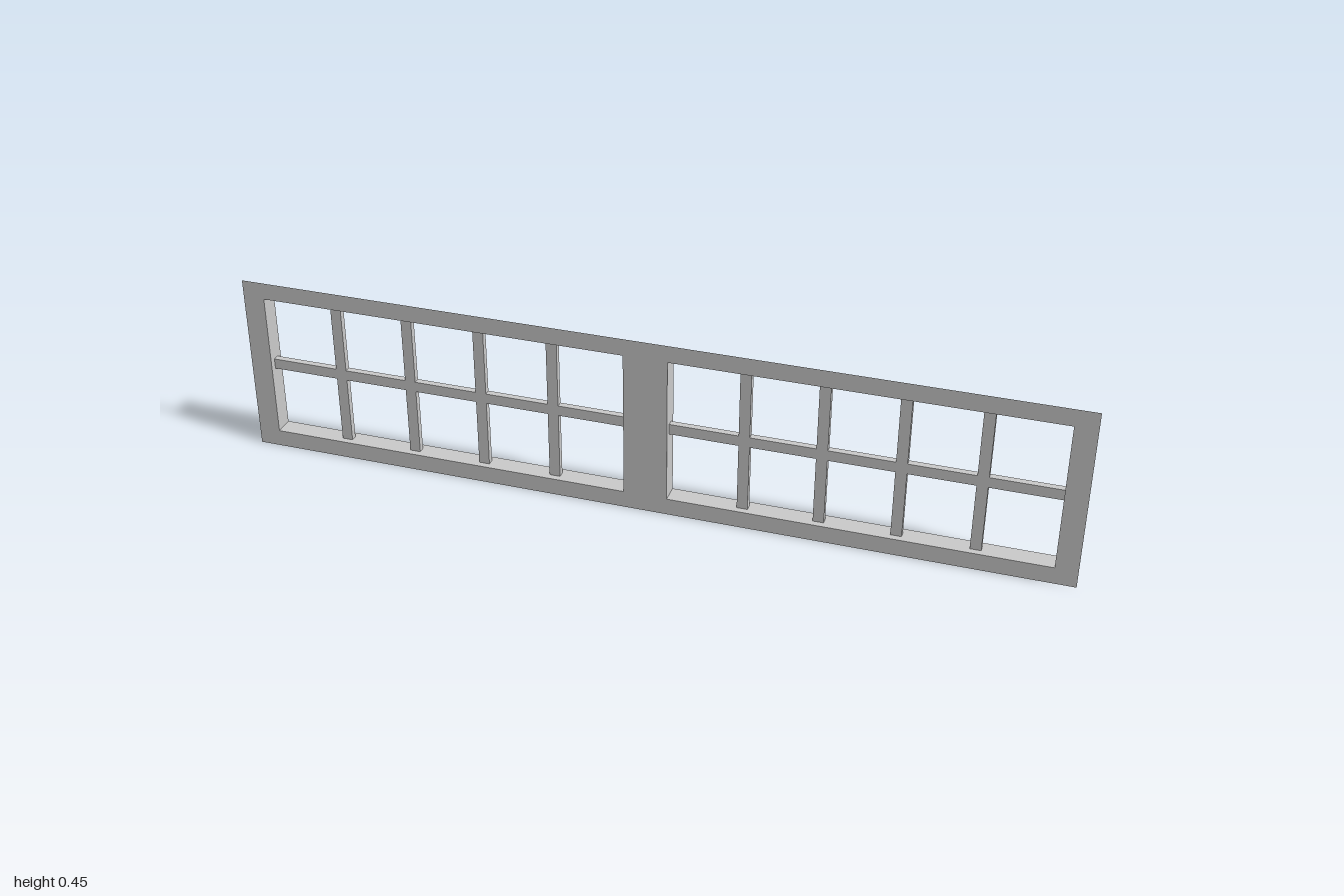
import * as THREE from 'three';

const WIDTH = 2, HEIGHT = 0.448, HALF_DEPTH = 0.024;
const PANE_W = 0.895, PANE_BOTTOM = 0.042, PANE_TOP = 0.406, MID_Y = 0.224;
const BAR_W = 0.026, BAR_HALF_DEPTH = 0.008;

const material = new THREE.MeshStandardMaterial({ color: 0xcccccc, side: THREE.DoubleSide, flatShading: true });

function rectangle(PathType, x0, y0, x1, y1) {
  return new PathType([[x0, y0], [x1, y0], [x1, y1], [x0, y1]].map(([x, y]) => new THREE.Vector2(x, y)));
}

function add(parent, name, geometry, x = 0, y = 0, z = 0) {
  const mesh = new THREE.Mesh(geometry, material);
  mesh.name = name;
  mesh.position.set(x, y, z);
  parent.add(mesh);
  return mesh;
}

// Thin sheet standing along z, running horizontally or vertically
function addStrip(parent, name, length, depth, x, y, vertical) {
  const strip = add(parent, name, new THREE.PlaneGeometry(vertical ? depth : length, vertical ? length : depth), x, y);
  if (vertical) strip.rotation.y = Math.PI / 2;
  else strip.rotation.x = -Math.PI / 2;
}

// Glazing bar: a channel with a front face and two sides, open at the back
function addBar(parent, name, length, x, y, vertical) {
  const bar = new THREE.Group();
  bar.name = name;
  bar.position.set(x, y, 0);
  add(bar, 'barFace', new THREE.PlaneGeometry(vertical ? BAR_W : length, vertical ? length : BAR_W), 0, 0, BAR_HALF_DEPTH);
  for (const s of [-1, 1]) {
    const offset = s * BAR_W / 2;
    addStrip(bar, 'barSide', length, 2 * BAR_HALF_DEPTH, vertical ? offset : 0, vertical ? 0 : offset, vertical);
  }
  parent.add(bar);
}

export function createModel() {
  const model = new THREE.Group();
  model.name = 'doubleWindowFrame';

  // Flat front face with two openings
  const face = rectangle(THREE.Shape, -WIDTH / 2, 0, WIDTH / 2, HEIGHT);
  for (const cx of [-0.5, 0.5]) {
    face.holes.push(rectangle(THREE.Path, cx - PANE_W / 2, PANE_BOTTOM, cx + PANE_W / 2, PANE_TOP));
  }
  add(model, 'frameFace', new THREE.ShapeGeometry(face), 0, 0, HALF_DEPTH);

  for (const cx of [-0.5, 0.5]) {
    const sash = new THREE.Group();
    sash.name = cx < 0 ? 'rightWindow' : 'leftWindow';
    sash.position.x = cx;
    model.add(sash);

    // Reveal walls lining the opening
    for (const s of [-1, 1]) {
      addStrip(sash, 'sideReveal', PANE_TOP - PANE_BOTTOM, 2 * HALF_DEPTH, s * PANE_W / 2, MID_Y, true);
      addStrip(sash, s < 0 ? 'sillReveal' : 'headReveal', PANE_W, 2 * HALF_DEPTH, 0, s < 0 ? PANE_BOTTOM : PANE_TOP, false);
    }

    // Glazing bars poke slightly through the reveals
    addBar(sash, 'horizontalBar', 0.922, 0, 0.223, false);
    for (let i = 0; i < 4; i++) addBar(sash, 'verticalBar', 0.379, (i - 1.5) * 0.18, 0.2195, true);
  }
  return model;
}
